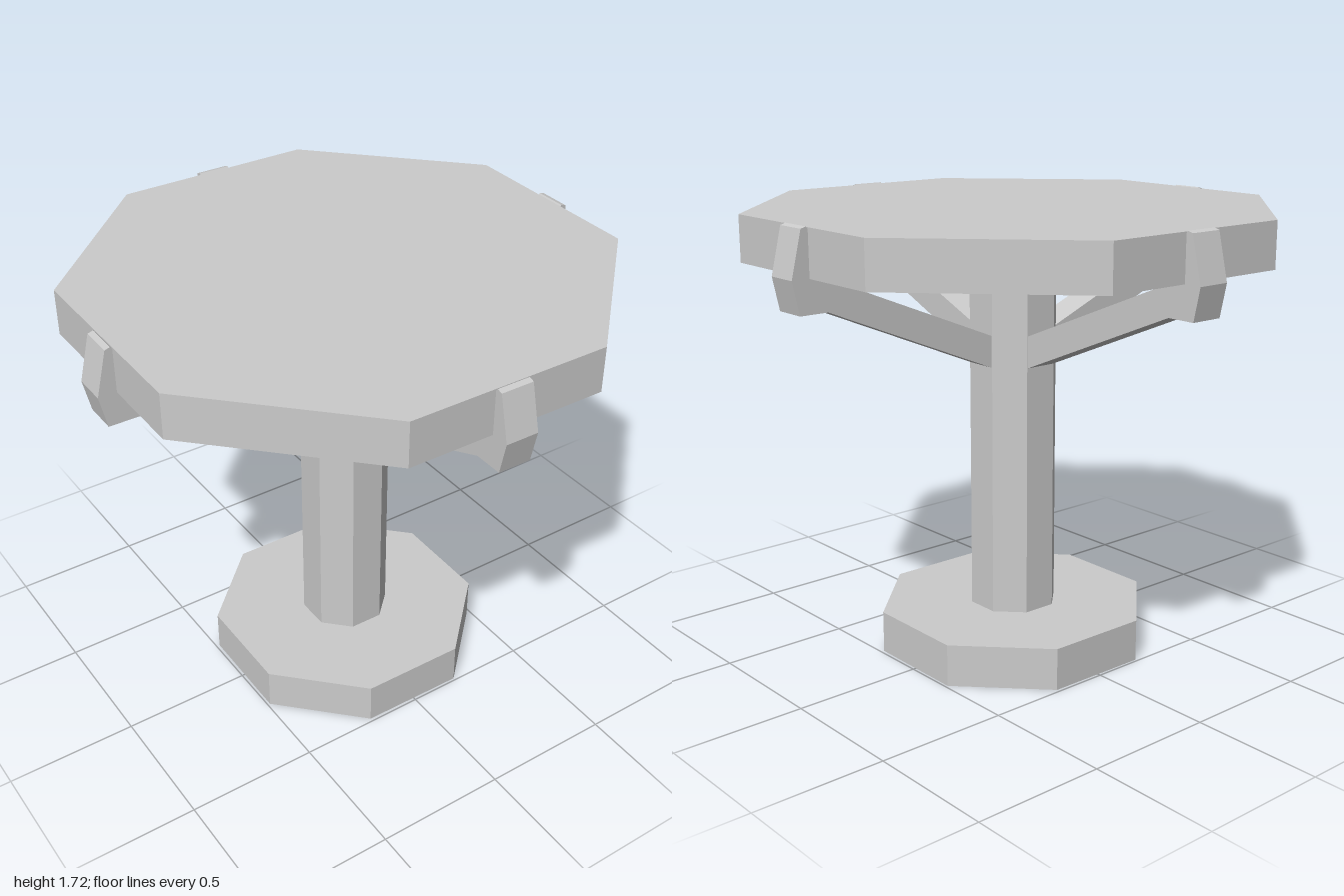
import * as THREE from 'three';

export function createModel() {
  const model = new THREE.Group();
  model.name = 'pedestalTable';
  const material = new THREE.MeshStandardMaterial({ color: 0xcccccc, flatShading: true });

  const add = (name, geometry, parent = model) => {
    const mesh = new THREE.Mesh(geometry, material);
    mesh.name = name;
    parent.add(mesh);
    return mesh;
  };

  // Octagonal slab with flat sides towards the axes
  const octagon = (name, apothem, bottom, top) => {
    const radius = apothem / Math.cos(Math.PI / 8);
    const geometry = new THREE.CylinderGeometry(radius, radius, top - bottom, 8);
    geometry.rotateY(Math.PI / 8);
    geometry.translate(0, (top + bottom) / 2, 0);
    return add(name, geometry);
  };

  octagon('base', 0.488, 0, 0.162);
  octagon('post', 0.157, 0.162, 1.545);
  octagon('tabletop', 0.928, 1.545, 1.715);

  // Sloping brace that ends in a clip hooked over the table edge
  const profile = [
    [0.14, 1.123], [0.157, 1.13], [0.86, 1.425], [0.97, 1.425], [0.996, 1.545],
    [0.955, 1.712], [0.935, 1.718], [0.92, 1.70], [0.92, 1.56], [0.88, 1.547],
    [0.157, 1.25], [0.14, 1.243],
  ];
  const width = 0.125;
  const shape = new THREE.Shape(profile.map(([x, y]) => new THREE.Vector2(x, y)));
  const braceGeometry = new THREE.ExtrudeGeometry(shape, { depth: width, bevelEnabled: false });
  braceGeometry.translate(0, 0, -width / 2);

  ['left', 'back', 'right', 'front'].forEach((side, i) => {
    add(side + 'Brace', braceGeometry).rotation.y = i * Math.PI / 2;
  });

  // The whole table stands very slightly turned
  model.rotation.y = -0.009;
  return model;
}
